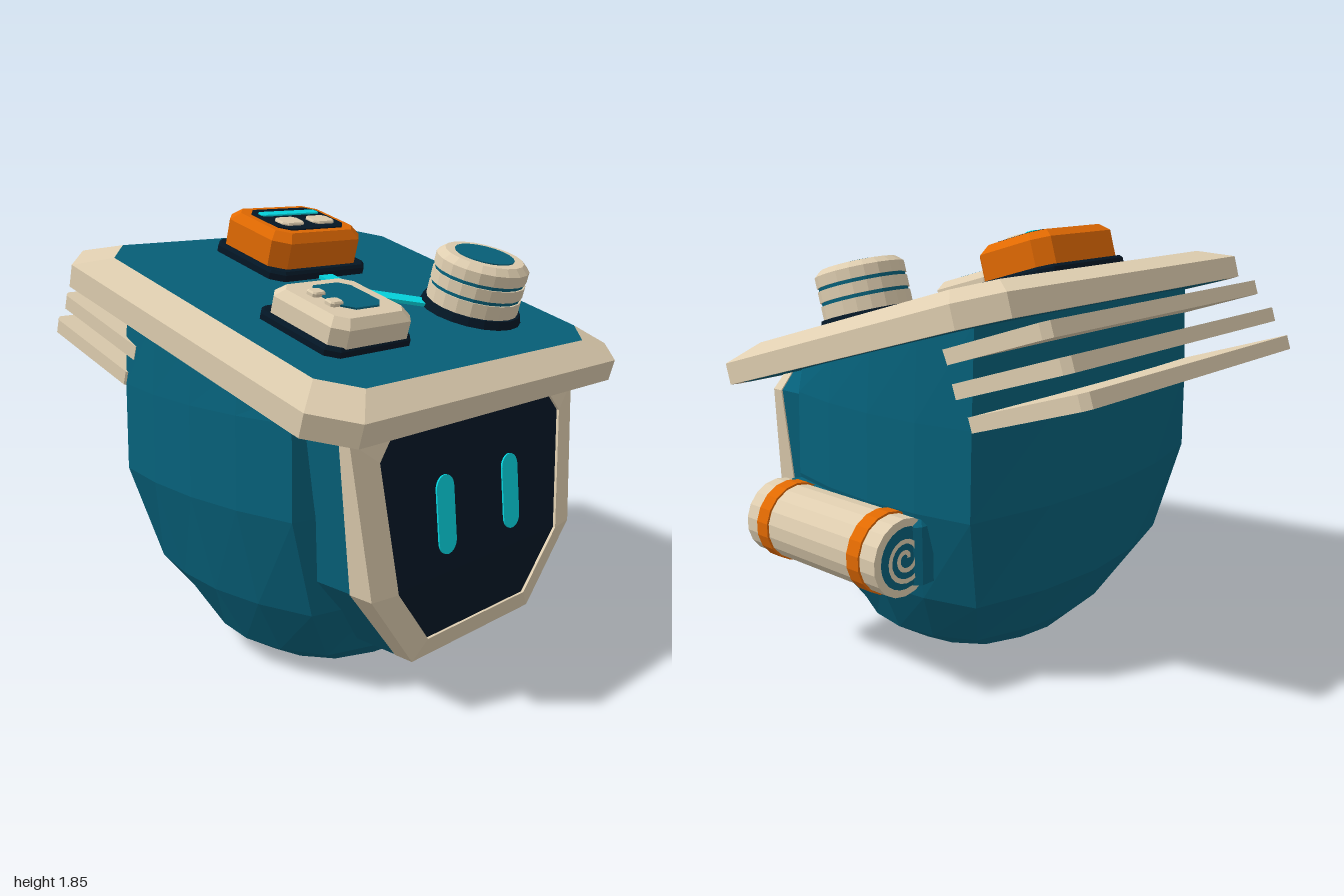
import * as THREE from 'three';

const paint = (name, color) => Object.assign(new THREE.MeshStandardMaterial({ color }), { name });
const teal = paint('teal', 0x06617a);
const cream = paint('cream', 0xdfceb0);
const orange = paint('orange', 0xe26a02);
const navy = paint('navy', 0x041726);
const cyan = paint('cyan', 0x04d6e0);

const CX = -0.06;      // middle of the head
const TILT = 0.281;    // slope of the lid

function add(parent, name, geometry, material) {
  const mesh = new THREE.Mesh(geometry, material);
  mesh.name = name;
  parent.add(mesh);
  return mesh;
}

function group(parent, name) {
  const g = new THREE.Group();
  g.name = name;
  parent.add(g);
  return g;
}

function faceted(geometry) {
  const g = geometry.index ? geometry.toNonIndexed() : geometry;
  g.computeVertexNormals();
  return g;
}

// Flat-shaded surface through a stack of cross-sections
function skin(rings, closed = true) {
  const pos = [];
  const n = rings[0].length;
  const same = (p, q) => p.every((v, i) => Math.abs(v - q[i]) < 1e-7);
  const tri = (a, b, c) => {
    if (!same(a, b) && !same(b, c) && !same(a, c)) pos.push(...a, ...b, ...c);
  };
  for (let k = 0; k + 1 < rings.length; k++) {
    for (let i = 0; i < (closed ? n : n - 1); i++) {
      const j = (i + 1) % n;
      tri(rings[k][i], rings[k][j], rings[k + 1][j]);
      tri(rings[k][i], rings[k + 1][j], rings[k + 1][i]);
    }
  }
  const g = new THREE.BufferGeometry();
  g.setAttribute('position', new THREE.Float32BufferAttribute(pos, 3));
  return faceted(g);
}

// Collapse a ring to its centre, used to close an end
function centre(ring) {
  const c = [0, 1, 2].map(a => ring.reduce((s, p) => s + p[a], 0) / ring.length);
  return ring.map(() => c);
}

// Rectangle with cut corners at height y
function octagon(x, z, hx, hz, c, y) {
  return [[c - hx, hz], [hx - c, hz], [hx, hz - c], [hx, c - hz],
    [hx - c, -hz], [c - hx, -hz], [-hx, c - hz], [-hx, hz - c]].map(([px, pz]) => [x + px, y, z + pz]);
}

// Block with cut corners and a bevelled top
function block(x, z, hx, hz, c, y0, y1, bevel) {
  const rings = [octagon(x, z, hx, hz, c, y0), octagon(x, z, hx, hz, c, y1 - bevel),
    octagon(x, z, hx - bevel, hz - bevel, c * 0.85, y1)];
  return skin([centre(rings[0]), ...rings, centre(rings[2])]);
}

function disc(x, z, rTop, rBottom, y0, y1) {
  return faceted(new THREE.CylinderGeometry(rTop, rBottom, y1 - y0, 20).translate(x, (y0 + y1) / 2, z));
}

// Square with bulging sides; fx and fz place the corners as a share of the half sizes
function bulgedSquare(hx, hz, fx, fz) {
  const front = [], right = [];
  for (let i = 0; i < 4; i++) {
    const u = i / 2 - 1;
    front.push([u * fx * hx, hz * (1 - (1 - fz) * u * u)]);
    right.push([hx * (1 - (1 - fx) * u * u), -u * fz * hz]);
  }
  const half = [...front, ...right];
  return [...half, ...half.map(([x, z]) => [-x, -z])];
}

function buildBody(root) {
  // height, centre z, half width, half depth, corner shares; the last ring follows the lid slope
  const levels = [[0, 0.14, 0.44, 0.35, 0.74, 0.72], [0.11, 0.147, 0.61, 0.475, 0.8, 0.75],
    [0.36, 0.115, 0.74, 0.595, 0.88, 0.79], [0.77, 0.085, 0.83, 0.635, 0.92, 0.81],
    [1.14, 0.08, 0.82, 0.625, 0.92, 0.82], [null, 0.08, 0.795, 0.62, 0.92, 0.82]];
  const rings = levels.map(([y, cz, ...shape]) => bulgedSquare(...shape).map(([x, z]) =>
    [CX + x, y ?? (1.365 - 0.277 * (cz + z)) / 0.961, cz + z]));
  add(root, 'headShell', skin([centre(rings[0]), ...rings]), teal);
}

function buildFace(root) {
  const face = group(root, 'face');
  face.position.x = CX;
  const outer = [[0.385, 0.173], [0.645, 0.505], [0.706, 1.11], [0.58, 1.25]];
  const inner = [[0.32, 0.257], [0.518, 0.505], [0.576, 1.015], [0.46, 1.15]];
  const front = y => (y > 0.505 ? 0.91 - 0.0946 * (y - 0.505) : 0.91 - 0.07 * (0.505 - y));
  const sunk = y => front(y) - 0.012;
  const outline = (rows, z, s = 1) => [...rows.map(([w, y]) => [w * s, y, z(y)]),
    ...rows.map(([w, y]) => [-w * s, y, z(y)]).reverse()];

  add(face, 'faceNeck', skin([outline(outer, () => 0.3, 0.99), outline(outer, () => 0.79, 0.99)]), teal);
  const back = outline(outer, () => 0.78);
  add(face, 'faceFrame', skin([centre(back), back, outline(outer, y => front(y) - 0.02),
    outline(inner, front), outline(inner, sunk)]), cream);
  add(face, 'screen', skin(inner.map(([w, y]) => [[-w, y, sunk(y)], [w, y, sunk(y)]]), false), navy);

  // Capsule eyes
  for (const side of [-1, 1]) {
    const r = 0.053, h = 0.105;
    const s = new THREE.Shape();
    s.absarc(0, h, r, 0, Math.PI, false);
    s.absarc(0, -h, r, Math.PI, Math.PI * 2, false);
    const eye = add(face, 'eye', new THREE.ExtrudeGeometry(s, { depth: 0.007, bevelEnabled: false, curveSegments: 8 }), cyan);
    eye.position.set(side * 0.21, 0.737, sunk(0.737));
    eye.rotation.x = -0.094;
  }
}

function buildLid(root) {
  const lid = group(root, 'lid');
  lid.rotation.x = TILT;
  lid.position.y = -0.01;
  const under = octagon(CX, -0.24, 0.9, 0.81, 0.13, 1.362);
  const top = octagon(CX, -0.24, 0.815, 0.73, 0.13, 1.515);
  add(lid, 'lidRim', skin([under, octagon(CX, -0.24, 0.942, 0.85, 0.145, 1.362),
    octagon(CX, -0.24, 0.942, 0.85, 0.145, 1.456), top]), cream);
  add(lid, 'lidTop', skin([top, centre(top)]), teal);
  add(lid, 'lidUnderside', skin([centre(under), under]), teal);

  // Glowing strips joining the three gadgets
  const hub = [CX, -0.23];
  for (const [x, z] of [[CX, -0.5], [-0.46, 0.04], [0.355, 0.07]]) {
    const dx = x - hub[0], dz = z - hub[1], len = Math.hypot(dx, dz);
    const strip = add(lid, 'strip', new THREE.BoxGeometry(0.08, 0.02, len), cyan);
    strip.position.set(hub[0] + dx / 2, 1.52, hub[1] + dz / 2);
    strip.rotation.y = Math.atan2(dx, dz);
  }

  // Orange control box
  const control = group(lid, 'controlBox');
  add(control, 'controlBase', block(CX, -0.65, 0.288, 0.224, 0.05, 1.51, 1.555, 0.012), navy);
  add(control, 'controlCase', block(CX, -0.662, 0.265, 0.2, 0.06, 1.55, 1.702, 0.035), orange);
  add(control, 'controlPanel', block(CX, -0.66, 0.195, 0.132, 0.045, 1.695, 1.708, 0.003), navy);
  add(control, 'controlLight', block(CX, -0.72, 0.17, 0.023, 0.01, 1.705, 1.715, 0.003), cyan);
  for (const side of [-1, 1]) {
    add(control, 'controlButton', block(CX + side * 0.092, -0.613, 0.064, 0.044, 0.02, 1.705, 1.719, 0.006), cream);
  }

  // Square cream box with a latch
  const box = group(lid, 'latchBox');
  add(box, 'latchBase', block(-0.46, 0.045, 0.235, 0.222, 0.045, 1.51, 1.55, 0.012), navy);
  add(box, 'latchCase', block(-0.457, 0.055, 0.217, 0.207, 0.05, 1.545, 1.65, 0.033), cream);
  add(box, 'latchPanel', block(-0.443, 0.048, 0.108, 0.12, 0.045, 1.645, 1.657, 0.003), teal);
  for (const z of [0, 0.098]) {
    add(box, 'latchTab', block(-0.557, z, 0.034, 0.026, 0.01, 1.645, 1.668, 0.006), cream);
  }

  // Round stacked knob
  const knob = group(lid, 'knob');
  const at = [0.355, 0.07];
  add(knob, 'knobBase', disc(...at, 0.215, 0.227, 1.51, 1.55), navy);
  add(knob, 'knobCore', disc(...at, 0.196, 0.196, 1.54, 1.74), teal);
  for (const [y0, y1] of [[1.55, 1.612], [1.628, 1.678], [1.694, 1.742]]) {
    add(knob, 'knobRing', disc(...at, 0.203, 0.203, y0, y1), cream);
  }
  add(knob, 'knobTop', disc(...at, 0.172, 0.203, 1.742, 1.769), cream);
  add(knob, 'knobInlay', disc(...at, 0.13, 0.13, 1.766, 1.774), teal);
}

function buildSlats(root) {
  for (const [y, z] of [[1.477, -0.512], [1.365, -0.605], [1.249, -0.686]]) {
    const slat = add(root, 'backSlat', block(CX, 0, 0.762, 0.298, 0.03, -0.031, 0.031, 0), cream);
    slat.position.set(0, y, z);
    slat.rotation.x = 0.316;
  }
}

function spiralShape() {
  const edge = offset => Array.from({ length: 41 }, (_, i) => {
    const a = i / 40 * Math.PI * 4, r = 0.015 + 0.0073 * a + offset;
    return new THREE.Vector2(r * Math.cos(a), r * Math.sin(a));
  });
  return new THREE.Shape([...edge(0.01), ...edge(-0.01).reverse()]);
}

function buildRoll(root) {
  const roll = group(root, 'sideRoll');
  roll.position.set(0.83, 0.61, 0.207);
  const tube = (r, len) => faceted(new THREE.CylinderGeometry(r, r, len, 18).rotateX(Math.PI / 2));
  add(roll, 'rollBody', tube(0.163, 0.8), cream);
  for (const z of [0.288, -0.282]) add(roll, 'rollBand', tube(0.172, 0.068), orange).position.z = z;
  // Bracket against the head
  const bracket = add(roll, 'rollBracket', block(0, 0, 0.06, 0.43, 0.03, -0.13, 0.14, 0.025), teal);
  bracket.position.x = -0.1;
  // Spiral ends
  for (const turn of [0, Math.PI]) {
    const end = group(roll, 'rollEnd');
    end.rotation.y = turn;
    add(end, 'endDisc', new THREE.CircleGeometry(0.13, 24), teal).position.z = 0.404;
    add(end, 'endSpiral', new THREE.ShapeGeometry(spiralShape()), cream).position.z = 0.408;
  }
}

export function createModel() {
  const root = new THREE.Group();
  root.name = 'robotHead';
  buildBody(root);
  buildFace(root);
  buildLid(root);
  buildSlats(root);
  buildRoll(root);
  return root;
}
